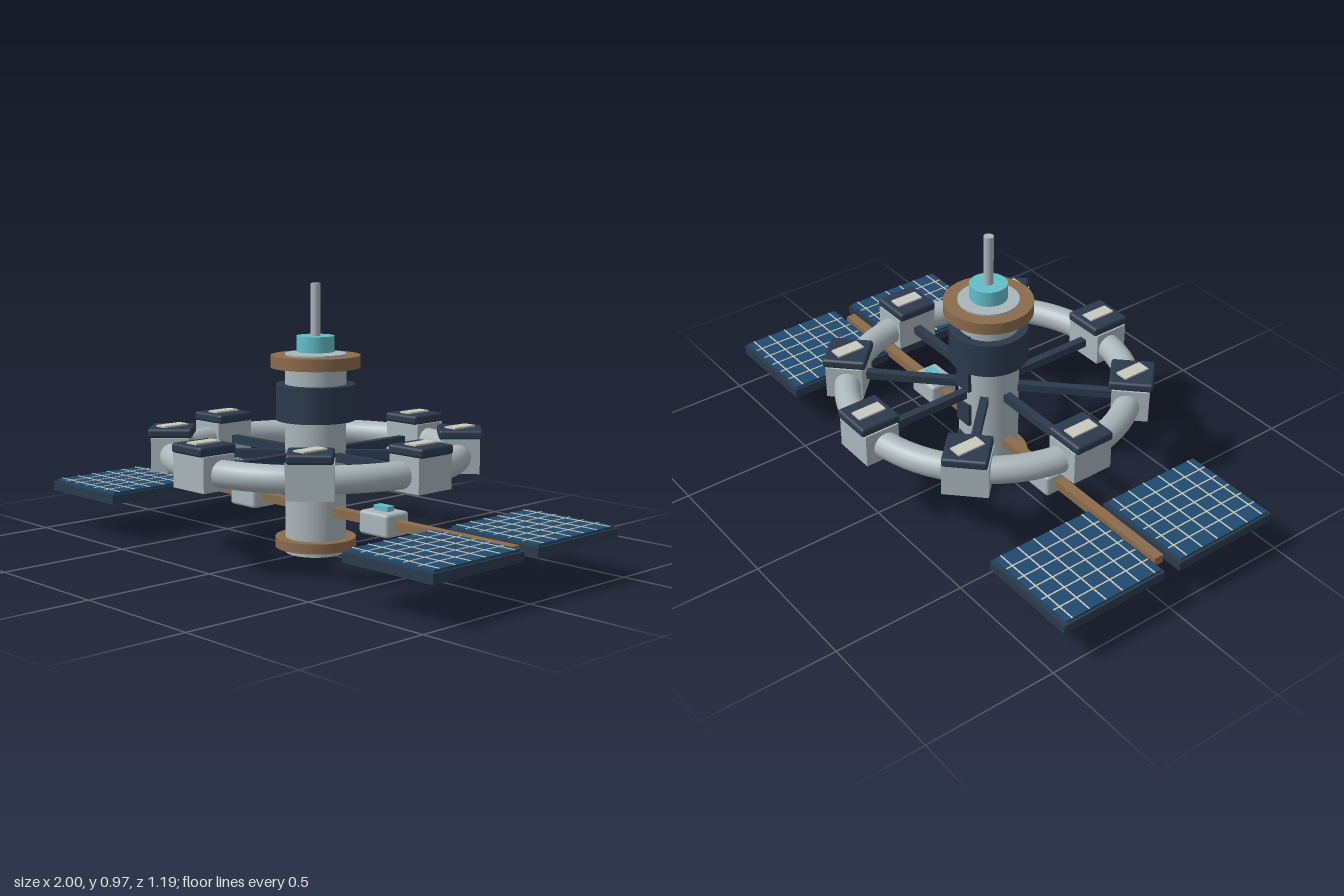
import * as THREE from 'three';
import { RoundedBoxGeometry } from 'three/addons/geometries/RoundedBoxGeometry.js';

const mat = (name, color) => {
  const m = new THREE.MeshStandardMaterial({ color });
  m.name = name;
  return m;
};

export function createModel() {
  const hull = mat('hull grey', 0xaab6bb);
  const navy = mat('dark navy', 0x2b3a4d);
  const bronze = mat('bronze', 0x8b6b4b);
  const teal = mat('teal', 0x62bfc9);
  const blue = mat('cell blue', 0x1f4a6e);
  const cream = mat('pale cream', 0xc8c8be);

  const model = new THREE.Group();
  model.name = 'spaceStation';

  const add = (parent, name, geo, material, x = 0, y = 0, z = 0) => {
    const mesh = new THREE.Mesh(geo, material);
    mesh.name = name;
    mesh.position.set(x, y, z);
    parent.add(mesh);
    return mesh;
  };
  const box = (w, h, d) => new THREE.BoxGeometry(w, h, d);
  const rounded = (w, h, d, r) => new RoundedBoxGeometry(w, h, d, 2, r);
  // upright cylinder between two heights
  const column = (name, r, y0, y1, material) =>
    add(model, name, new THREE.CylinderGeometry(r, r, y1 - y0, 40), material, 0, (y0 + y1) / 2, 0);

  // central core, collars, beacon and mast
  column('core', 0.11, 0, 0.724, hull);
  column('lowerCollar', 0.147, 0.021, 0.057, bronze);
  column('darkBand', 0.143, 0.485, 0.614, navy);
  column('upperCollar', 0.161, 0.674, 0.718, bronze);
  column('beacon', 0.068, 0.73, 0.787, teal);
  column('mast', 0.018, 0.72, 0.974, hull);

  // hatches up the back of the core
  for (const [y0, y1] of [[0.105, 0.18], [0.237, 0.325], [0.385, 0.465], [0.54, 0.619]]) {
    add(model, 'backHatch', box(0.07, y1 - y0, 0.02), navy, 0, (y0 + y1) / 2, -0.108);
  }

  // habitat ring
  const ring = add(model, 'habitatRing', new THREE.TorusGeometry(0.512, 0.048, 20, 72), hull, 0, 0.36, 0);
  ring.rotation.x = Math.PI / 2;

  // eight spokes and ring modules
  const R = 0.518;
  for (let i = 0; i < 8; i++) {
    const a = (i * Math.PI) / 4;
    const arm = new THREE.Group();
    arm.name = 'ringSection';
    arm.rotation.y = a;
    model.add(arm);
    add(arm, 'spoke', box(0.4, 0.03, 0.03), navy, 0.28, 0.36, 0);
    add(arm, 'ringModule', box(0.135, 0.123, 0.162), hull, R, 0.3635, 0);
    add(arm, 'moduleRoof', rounded(0.158, 0.034, 0.158, 0.01), navy, R, 0.441, 0);
    // roof windows all point the same way
    add(model, 'roofWindow', box(0.05, 0.008, 0.108), cream,
      R * Math.cos(a), 0.46, -R * Math.sin(a));
  }

  // boom carrying the solar wings
  add(model, 'boom', box(1.87, 0.032, 0.038), bronze, 0, 0.162, 0);

  for (const sx of [-1, 1]) {
    // equipment pod on the boom
    add(model, 'boomPod', rounded(0.138, 0.084, 0.112, 0.012), hull, sx * 0.346, 0.162, 0);
    add(model, 'podLight', box(0.066, 0.018, 0.034), teal, sx * 0.346, 0.213, 0);

    for (const sz of [-1, 1]) {
      const wing = new THREE.Group();
      wing.name = 'solarPanel';
      wing.position.set(sx * 0.806, 0, sz * 0.246);
      model.add(wing);
      add(wing, 'panelFrame', box(0.388, 0.034, 0.425), navy, 0, 0.16, 0);
      add(wing, 'solarCells', box(0.372, 0.009, 0.4), blue, 0, 0.1815, 0);
      // grid lines between the cells
      for (let i = -2; i <= 2; i++) {
        add(wing, 'gridLine', box(0.005, 0.003, 0.4), cream, i * 0.061, 0.1865, 0);
      }
      for (let j = 0; j < 6; j++) {
        add(wing, 'gridLine', box(0.372, 0.003, 0.005), cream, 0, 0.1863, (j - 2.5) * 0.07);
      }
    }
  }
  return model;
}
